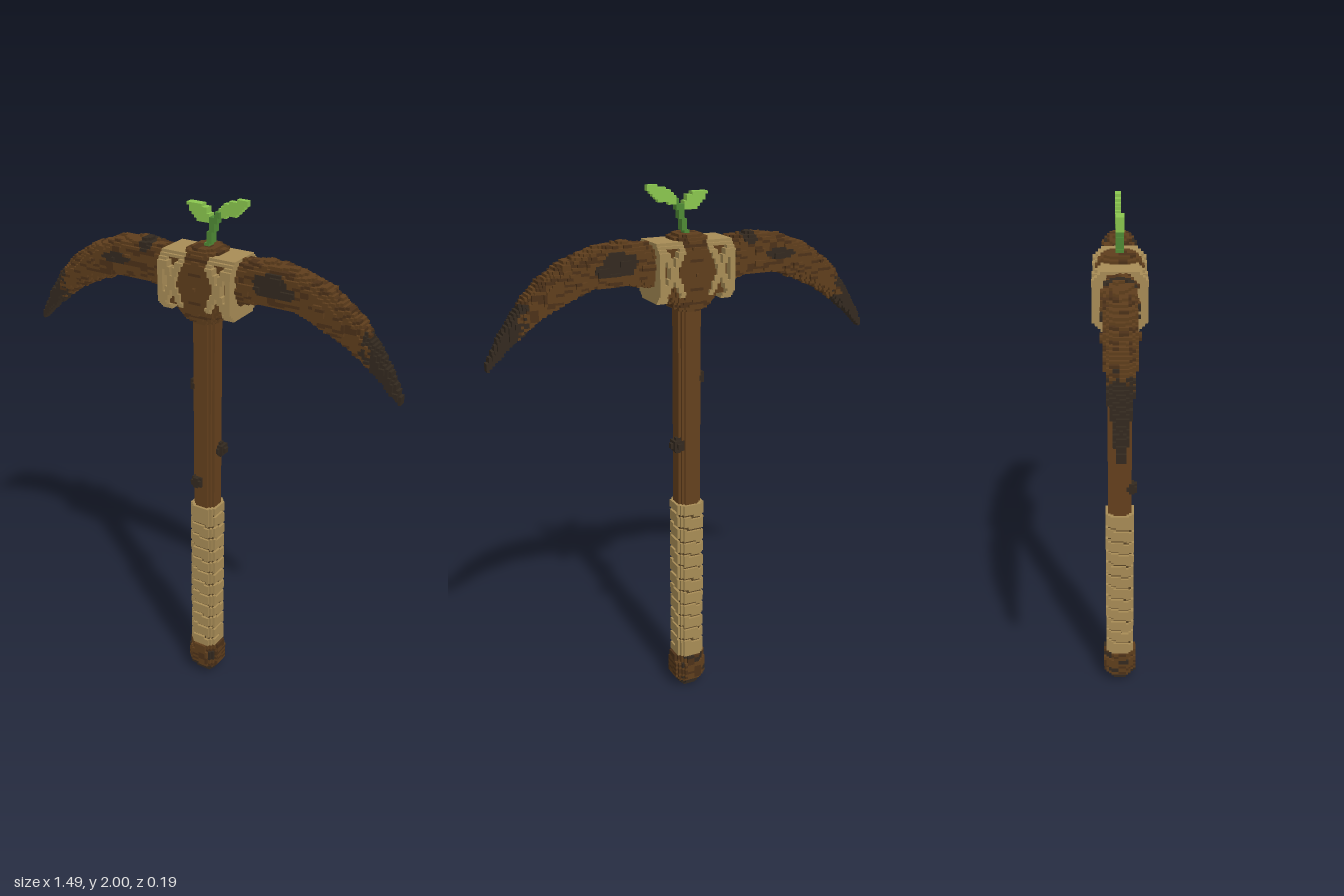
import * as THREE from 'three';

const S = 0.01; // voxel size
const mat = (name, color) => Object.assign(new THREE.MeshStandardMaterial({ color }), { name });
const M = {
  wood: mat('handle wood', 0x64401d),
  bark: mat('bark', 0x5f3e1c),
  barkDark: mat('dark bark', 0x4c3118),
  char: mat('charred bark', 0x33291f),
  rope: mat('rope', 0xa88c56),
  ropeGap: mat('rope gap', 0x5a4526),
  leaf: mat('leaf', 0x8ac64e),
  stem: mat('stem', 0x4f8a35),
};

const hash = (a, b, c) => {
  const s = Math.sin(a * 12.9898 + b * 78.233 + c * 37.719) * 43758.5453;
  return s - Math.floor(s);
};

// piecewise linear lookup in [x, ...values] rows
function lookup(rows, x, col) {
  for (let n = 1; n < rows.length; n++) {
    if (x <= rows[n][0]) {
      const a = rows[n - 1], b = rows[n];
      const t = Math.max(0, (x - a[0]) / (b[0] - a[0]));
      return a[col] + (b[col] - a[col]) * t;
    }
  }
  return 0;
}

// distance from (x, y) to a segment, with the position along it
function segment(x, y, ax, ay, bx, by) {
  const dx = bx - ax, dy = by - ay;
  const t = Math.min(1, Math.max(0, ((x - ax) * dx + (y - ay) * dy) / (dx * dx + dy * dy)));
  return [Math.hypot(x - ax - dx * t, y - ay - dy * t), t];
}

const key = (i, j, k) => ((i + 200) * 400 + j + 50) * 400 + k + 200;

export function createModel() {
  const cells = new Map();

  // fills a box of voxels wherever the rule returns a material
  function fill(part, [x0, x1], [y0, y1], zMax, rule) {
    const kMax = Math.round(zMax / S);
    for (let i = Math.round(x0 / S); i <= Math.round(x1 / S); i++)
      for (let j = Math.round(y0 / S); j < Math.round(y1 / S); j++)
        for (let k = -kMax; k <= kMax; k++) {
          const m = rule(i * S, (j + 0.5) * S, k * S, i, j, k);
          if (m) cells.set(key(i, j, k), { part, m, p: [i, j, k] });
        }
  }

  const barkAt = (i, j, k) => (hash(Math.floor(i / 3), j, Math.floor(k / 3)) > 0.72 ? M.barkDark : M.bark);

  // handle shaft with chamfered corners
  fill('handle', [-0.05, 0.05], [0.12, 1.6], 0.05, (x, y, z) =>
    Math.max(Math.abs(x), Math.abs(z)) < 0.045 && Math.abs(x) + Math.abs(z) < 0.066 ? M.wood : null);

  // small dark knots on the shaft
  for (const [kx, ky, kz, r] of [[-0.045, 1.3, 0, 0.024], [0.045, 1.05, -0.015, 0.028], [-0.015, 0.92, 0.045, 0.022]])
    fill('handleKnots', [-0.07, 0.07], [ky - 0.04, ky + 0.04], 0.07, (x, y, z) =>
      Math.hypot(x - kx, y - ky, z - kz) < r ? M.char : null);

  // spiral rope grip with recessed gaps
  fill('gripWrap', [-0.06, 0.06], [0.15, 0.81], 0.06, (x, y, z) => {
    const r = Math.max(Math.abs(x), Math.abs(z)), d = Math.abs(x) + Math.abs(z);
    if (r > 0.055 || d > 0.086) return null;
    const turn = (y + 0.054 * Math.atan2(x, z) / (Math.PI * 2) + 1) % 0.054;
    const gap = turn < 0.011 && y > 0.18 && y < 0.78;
    if (gap) return r < 0.046 && d < 0.076 ? M.ropeGap : null;
    return M.rope;
  });

  // rounded pommel
  const pommel = [[0, 0.026], [0.03, 0.046], [0.06, 0.068], [0.11, 0.07], [0.13, 0.06], [0.16, 0.06]];
  fill('pommel', [-0.08, 0.08], [0, 0.15], 0.08, (x, y, z, i, j, k) => {
    const r = lookup(pommel, y, 1);
    if (Math.max(Math.abs(x), Math.abs(z)) > r || Math.abs(x) + Math.abs(z) > r * 1.42) return null;
    return y < 0.035 || hash(i >> 2, j >> 1, k >> 2) > 0.85 ? M.char : barkAt(i, j, k);
  });

  // curved horns: x, top, bottom, half depth
  const horn = [
    [0.05, 1.775, 1.64, 0.06], [0.16, 1.805, 1.655, 0.06], [0.24, 1.818, 1.67, 0.06],
    [0.36, 1.802, 1.668, 0.06], [0.466, 1.765, 1.625, 0.056], [0.55, 1.708, 1.583, 0.05],
    [0.6, 1.662, 1.545, 0.042], [0.65, 1.6, 1.505, 0.034], [0.7, 1.525, 1.46, 0.024], [0.745, 1.44, 1.415, 0.012],
  ];
  for (const side of [1, -1]) {
    const spots = side > 0
      ? [[0.27, 1.75, 0.07, 0.045], [0.33, 1.73, 0.04, 0.025]]
      : [[0.35, 1.74, 0.07, 0.022], [0.23, 1.81, 0.03, 0.03]];
    fill(side > 0 ? 'leftHorn' : 'rightHorn', side > 0 ? [0.05, 0.74] : [-0.74, -0.05], [1.4, 1.84], 0.07,
      (x, y, z, i, j, k) => {
        const ax = Math.abs(x), top = lookup(horn, ax, 1), bottom = lookup(horn, ax, 2);
        const ridge = hash(i >> 2, j >> 1, k >> 1) > 0.8 ? 0.005 : 0;
        const h = (top - bottom) / 2 + ridge * 0.7, d = lookup(horn, ax, 3) + ridge;
        const v = Math.abs(y - (top + bottom) / 2) / h;
        if (v ** 2.6 + (Math.abs(z) / d) ** 2.6 > 1) return null;
        if (ax + 0.05 * hash(i >> 1, j, k >> 1) > 0.64) return M.char;
        for (const [sx, sy, rx, ry] of spots)
          if (((ax - sx) / rx) ** 2 + ((y - sy) / ry) ** 2 < 0.6 + 0.4 * hash(i, j, 1)) return M.char;
        return barkAt(i, j, k);
      });
  }

  // central knot of wood with rings on its end faces
  fill('headKnot', [-0.11, 0.11], [1.55, 1.84], 0.09, (x, y, z, i, j, k) => {
    const q = (Math.abs(x) / 0.106) ** 2.4 + (Math.abs(y - 1.695) / 0.137) ** 2.4;
    if (q + (Math.abs(z) / 0.09) ** 4 > 1) return null;
    const ring = Math.max(Math.abs(x) / 0.5, Math.abs(y - 1.695) * 1.1);
    if (Math.abs(z) > 0.065) return (ring > 0.045 && ring < 0.06) || (ring > 0.1 && ring < 0.115) ? M.barkDark : M.bark;
    return barkAt(i, j, k);
  });

  // rope collars: solid outer plate, bands above and below, crossed straps front and back
  for (const side of [1, -1])
    fill(side > 0 ? 'leftBinding' : 'rightBinding', side > 0 ? [0.05, 0.14] : [-0.14, -0.05], [1.6, 1.82], 0.09,
      (x, y, z, i, j, k) => {
        const ax = Math.abs(x), az = Math.abs(z), dy = Math.abs(y - 1.708);
        if (dy > 0.106 || az + dy > 0.165) return null;
        if (ax > 0.125) return M.rope;
        if (dy > 0.085) return y > 1.7 || ax > 0.1 ? M.rope : null;
        const u = Math.abs(ax - 0.09) / 0.038, v = dy / 0.085;
        if (az > 0.065) return Math.abs(u - v) < 0.3 ? M.rope : cells.get(key(i, j, k))?.m;
        return M.bark;
      });

  // sprout: bent stem and two leaves
  fill('sproutStem', [-0.02, 0.08], [1.81, 1.96], 0.01, (x, y, z) => {
    const d = Math.min(segment(x, y, 0.005, 1.82, 0.025, 1.9)[0], segment(x, y, 0.025, 1.9, 0.05, 1.945)[0],
      segment(x, y, 0.025, 1.9, 0.01, 1.93)[0]);
    return d < 0.0095 ? M.stem : null;
  });
  const leaf = (part, a, b, width, inDepth) =>
    fill(part, [-0.08, 0.16], [1.9, 2], 0.02, (x, y, z, i, j, k) => {
      const [d, t] = segment(x, y, ...a, ...b);
      return inDepth(k) && d < width * (0.25 + 0.75 * Math.sin(Math.PI * t)) ? M.leaf : null;
    });
  leaf('rightLeaf', [0.015, 1.92], [-0.065, 1.962], 0.027, (k) => Math.abs(k) <= 1);
  leaf('leftLeaf', [0.045, 1.94], [0.148, 1.99], 0.025, (k) => k === -1 || k === 0);

  // turn exposed voxel faces into one mesh per part, with one group per colour
  const parts = new Map();
  const corners = [[-1, -1], [1, -1], [1, 1], [-1, 1]];
  for (const { part, m, p } of cells.values()) {
    if (!parts.has(part)) parts.set(part, new Map());
    const byMat = parts.get(part);
    if (!byMat.has(m)) byMat.set(m, { pos: [], nor: [] });
    const { pos, nor } = byMat.get(m);
    for (let d = 0; d < 3; d++)
      for (const s of [1, -1]) {
        const n = [0, 0, 0];
        n[d] = s;
        if (cells.has(key(p[0] + n[0], p[1] + n[1], p[2] + n[2]))) continue;
        for (const c of s > 0 ? [0, 1, 2, 0, 2, 3] : [0, 2, 1, 0, 3, 2]) {
          const q = [p[0], p[1] + 0.5, p[2]];
          q[d] += s / 2;
          q[(d + 1) % 3] += corners[c][0] / 2;
          q[(d + 2) % 3] += corners[c][1] / 2;
          pos.push(q[0] * S, q[1] * S, q[2] * S);
          nor.push(...n);
        }
      }
  }

  const model = new THREE.Group();
  model.name = 'pickaxe';
  for (const [name, byMat] of parts) {
    const geo = new THREE.BufferGeometry(), pos = [], nor = [], mats = [];
    for (const [m, f] of byMat) {
      if (!f.pos.length) continue;
      geo.addGroup(pos.length / 3, f.pos.length / 3, mats.length);
      mats.push(m);
      for (const v of f.pos) pos.push(v);
      for (const v of f.nor) nor.push(v);
    }
    if (!mats.length) continue;
    geo.setAttribute('position', new THREE.Float32BufferAttribute(pos, 3));
    geo.setAttribute('normal', new THREE.Float32BufferAttribute(nor, 3));
    const mesh = new THREE.Mesh(geo, mats);
    mesh.name = name;
    model.add(mesh);
  }
  return model;
}
